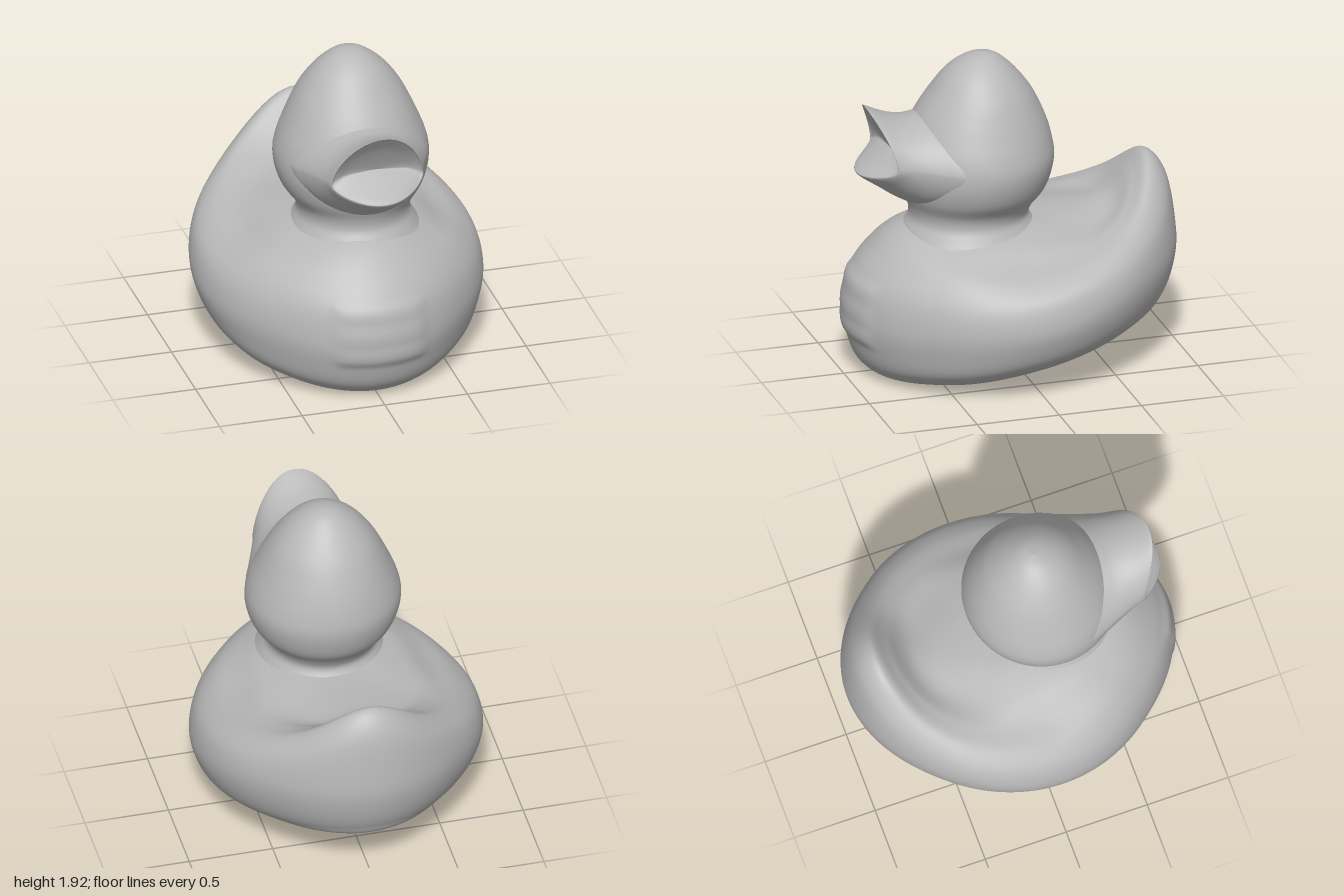
import * as THREE from 'three';

// Smooth closed skin: point(u, v) gives a Vector3, u runs 0..1 end to end, v runs 0..1 around.
function skin(point, rows, cols) {
  const pos = [], idx = [];
  for (let i = 0; i <= rows; i++)
    for (let j = 0; j < cols; j++) pos.push(...point(i / rows, j / cols).toArray());
  for (let i = 0; i < rows; i++)
    for (let j = 0; j < cols; j++) {
      const a = i * cols + j, b = i * cols + (j + 1) % cols;
      idx.push(a, b, a + cols, b, b + cols, a + cols);
    }
  const g = new THREE.BufferGeometry();
  g.setAttribute('position', new THREE.Float32BufferAttribute(pos, 3));
  g.setIndex(idx);
  g.computeVertexNormals();
  return g;
}

// Catmull-Rom interpolation through rows of numbers, t in 0..1
function sample(rows, t) {
  const n = rows.length - 1, f = Math.min(t * n, n - 1e-6), i = Math.floor(f), k = f - i;
  const at = (m) => rows[Math.max(0, Math.min(n, m))];
  return rows[0].map((_, c) => {
    const [a, b, d, e] = [at(i - 1)[c], at(i)[c], at(i + 1)[c], at(i + 2)[c]];
    return b + 0.5 * k * (d - a + k * (2 * a - 5 * b + 4 * d - e + k * (3 * (b - d) + e - a)));
  });
}

const smooth = THREE.MathUtils.smoothstep;

// Body outlines (radius, height) from base centre to back centre, every 45 degrees, front to tail
const BODY = [
  [[0, .2], [.5, .08], [.76, 0], [.9, .07], [.965, .22], [.985, .38], [.94, .6], [.81, .76], [.67, .87], [.5, .92], [.25, .92], [0, .9]],
  [[0, .2], [.48, .105], [.69, .055], [.81, .13], [.86, .27], [.875, .42], [.84, .58], [.75, .715], [.62, .805], [.46, .875], [.25, .9], [0, .9]],
  [[0, .2], [.42, .17], [.64, .15], [.77, .23], [.835, .36], [.85, .48], [.81, .62], [.71, .71], [.57, .77], [.42, .85], [.2, .9], [0, .9]],
  [[0, .2], [.45, .225], [.68, .235], [.8, .32], [.87, .46], [.895, .62], [.86, .77], [.77, .855], [.65, .865], [.5, .855], [.25, .89], [0, .9]],
  [[0, .2], [.5, .258], [.84, .3], [.93, .4], [.985, .57], [.995, .75], [.945, 1.06], [.835, 1.19], [.73, 1.1], [.58, .94], [.3, .9], [0, .9]],
];

function bodyPoint(u, v) {
  const angle = v * Math.PI * 2, t = 1 - Math.abs(1 - 2 * v);
  // mirrored keys on both ends keep the chest and tail smooth
  const at = BODY.map((p) => sample(p, u));
  const keys = [at[1], ...at, at[3]];
  let [r, y] = sample(keys, (1 + 4 * t) / 6);
  r = Math.max(r, 0);
  const p = new THREE.Vector3(r * Math.sin(angle), y, r * Math.cos(angle));
  // dimple under the base
  if (u < 0.2) p.y += 0.035 * Math.exp(-((r / 0.075) ** 2));
  // the tail rim falls away on both sides of its tip
  if (t > 0.75) p.y -= 0.03 * Math.sin((t - 0.75) * 4 * Math.PI) ** 2 * smooth(u, 0.4, 0.6) * smooth(r, 0.4, 0.75);
  // shallow raised chest panel with two faint grooves
  if (p.z > 0.7) {
    const edge = (d) => smooth(d, 0, 0.06);
    const groove = 1 - 0.3 * edge(0.06 - Math.abs(Math.abs(y - 0.43) - 0.07));
    p.z += 0.015 * edge(0.29 - Math.abs(p.x)) * edge(0.21 - Math.abs(y - 0.43)) * groove;
  }
  return p;
}

// Head and flared neck levels: height, centre z, half depth, half width
const HEAD = [
  [.82, .25, .42, .4], [.88, .25, .385, .36], [.94, .25, .352, .332], [1.01, .237, .37, .345],
  [1.1, .22, .42, .41], [1.2, .21, .447, .447], [1.3, .2, .452, .455], [1.4, .2, .438, .432],
  [1.5, .195, .405, .392], [1.6, .188, .357, .348], [1.7, .18, .296, .296], [1.8, .18, .22, .222],
  [1.87, .175, .145, .145], [1.91, .165, .075, .075], [1.925, .16, 0, 0],
];

function headPoint(u, v) {
  const [y, zc, hz, hx] = sample(HEAD, u), a = v * Math.PI * 2;
  return new THREE.Vector3(0.025 + Math.max(hx, 0) * Math.sin(a), y, zc + Math.max(hz, 0) * Math.cos(a));
}

// Cheeks running into the open bill: half width, mid height, rise, drop, then z at the sides, top and bottom
const BILL = [
  [.43, 1.3, .28, .2, .2, .3, .35],
  [.415, 1.305, .285, .24, .38, .45, .5],
  [.375, 1.315, .265, .26, .49, .55, .61],
  [.335, 1.33, .247, .23, .59, .64, .71],
  [.302, 1.34, .265, .165, .68, .75, .82],
  [.28, 1.348, .312, .1, .755, .87, .925],
  [.265, 1.36, .288, .085, .753, .867, .92],
  [.23, 1.375, .19, .06, .745, .81, .86],
  [.17, 1.39, .08, .03, .735, .76, .79],
  [0, 1.4, 0, 0, .73, .73, .73],
];

function billPoint(u, v) {
  const [hx, yc, up, down, zs, zt, zb] = sample(BILL, u);
  const a = v * Math.PI * 2, s = Math.sin(a);
  const z = zs + ((s > 0 ? zt : zb) - zs) * s * s;
  // the upper bill is a slightly pointed arch
  const y = yc + (s > 0 ? up * s ** 1.35 : down * s);
  return new THREE.Vector3(0.025 + Math.max(hx, 0) * Math.cos(a), y, z);
}

export function createModel() {
  const group = new THREE.Group();
  group.name = 'bathDuck';
  const grey = new THREE.MeshStandardMaterial({ color: 0xb8b8b8 });
  grey.name = 'plainGrey';
  const add = (name, geometry) => {
    const mesh = new THREE.Mesh(geometry, grey);
    mesh.name = name;
    group.add(mesh);
  };
  add('bodyAndTail', skin(bodyPoint, 110, 144));
  add('headAndNeck', skin(headPoint, 70, 72));
  add('cheeksAndOpenBill', skin(billPoint, 54, 64));
  return group;
}
